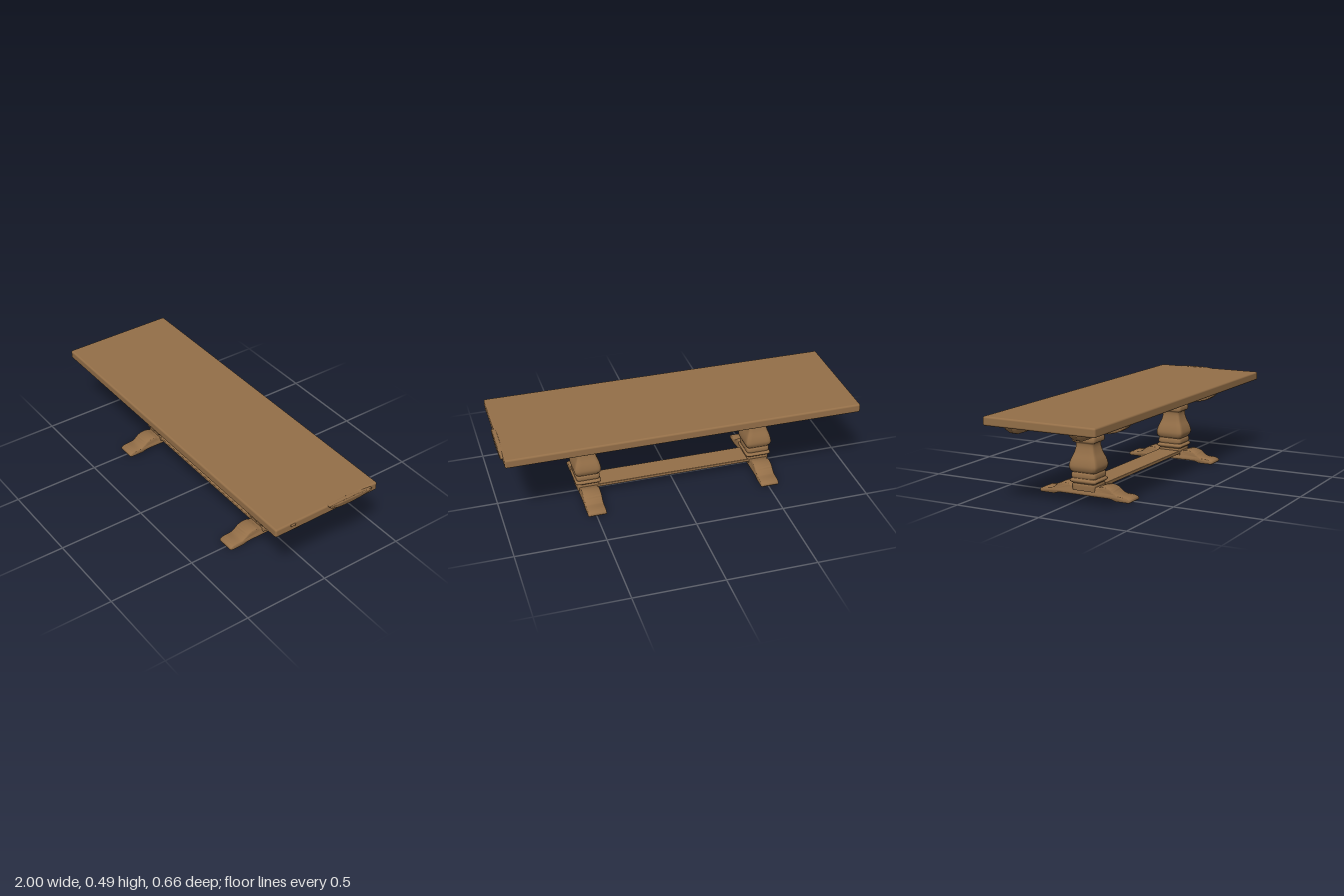
import * as THREE from 'three';
import { toCreasedNormals } from 'three/addons/utils/BufferGeometryUtils.js';
import { RoundedBoxGeometry } from 'three/addons/geometries/RoundedBoxGeometry.js';

const wood = new THREE.MeshStandardMaterial({ color: 0x946f48 });
wood.name = 'warm wood';

function part(name, geometry, x = 0, y = 0, z = 0) {
  const mesh = new THREE.Mesh(geometry, wood);
  mesh.name = name;
  mesh.position.set(x, y, z);
  return mesh;
}

const vectors = (pts) => pts.map(([x, y]) => new THREE.Vector2(x, y));

// Bevelled slab of an outline, centred on its thickness
function slab(shape, depth, bevel) {
  const g = new THREE.ExtrudeGeometry(shape, {
    depth: depth - 2 * bevel, bevelEnabled: true, bevelThickness: bevel,
    bevelSize: bevel, bevelOffset: -bevel, bevelSegments: 3, curveSegments: 32,
  });
  g.translate(0, 0, -depth / 2 + bevel);
  return toCreasedNormals(g, 0.8);
}

// Closed outline: smooth curve through the edge points, mirrored, then the straight inner edge
function mirroredOutline(curvePts, innerPts) {
  const flip = (pts) => pts.map(([x, y]) => [-x, y]).reverse();
  const curve = new THREE.SplineCurve(vectors([...curvePts, ...flip(curvePts)])).getPoints(90);
  return new THREE.Shape([...curve, ...vectors([...flip(innerPts), ...innerPts])]);
}

// Square baluster: lathe profile pushed out to a rounded square
function balusterGeometry() {
  const profile = [
    [0.068, 0.04], [0.07, 0.07], [0.067, 0.079], [0.079, 0.088], [0.08, 0.098],
    [0.071, 0.106], [0.074, 0.115], [0.073, 0.13], [0.069, 0.139], [0.077, 0.148],
    [0.083, 0.165], [0.082, 0.183], [0.075, 0.208], [0.062, 0.24], [0.054, 0.27],
    [0.053, 0.288], [0.056, 0.296], [0.067, 0.303], [0.069, 0.315], [0.067, 0.327],
    [0.064, 0.331], [0.072, 0.338], [0.072, 0.35], [0.068, 0.365], [0.064, 0.38],
  ];
  const g = new THREE.LatheGeometry(new THREE.SplineCurve(vectors(profile)).getPoints(96), 48);
  const p = g.attributes.position;
  for (let i = 0; i < p.count; i++) {
    const x = p.getX(i), z = p.getZ(i), r = Math.hypot(x, z);
    const k = Math.pow(Math.abs(x / r) ** 12 + Math.abs(z / r) ** 12, -1 / 12);
    p.setXYZ(i, x * k * 0.91, p.getY(i), z * k);
  }
  g.computeVertexNormals();
  return g;
}

export function createModel() {
  const table = new THREE.Group();
  table.name = 'trestleTable';

  // Table top
  table.add(part('tableTop', new RoundedBoxGeometry(1.985, 0.049, 0.656, 4, 0.01), -0.0075, 0.4615, 0));

  // Raised worn lip and small nick on the left end
  const lip = new THREE.Shape();
  lip.moveTo(0, 0.486);
  lip.bezierCurveTo(0.01, 0.46, 0.07, 0.452, 0.15, 0.452);
  lip.bezierCurveTo(0.25, 0.455, 0.3, 0.47, 0.28, 0.479);
  lip.quadraticCurveTo(0.15, 0.492, 0, 0.486);
  const lipGeometry = slab(lip, 0.026, 0.005);
  lipGeometry.rotateY(Math.PI / 2);
  table.add(part('wornLip', lipGeometry, 0.987, 0, 0));
  table.add(part('edgeNick', new RoundedBoxGeometry(0.016, 0.01, 0.032, 2, 0.004), 0.984, 0.473, 0.222));

  // Foot and arm outlines run along z
  const foot = mirroredOutline(
    [[0.268, 0.002], [0.277, 0.008], [0.275, 0.02], [0.258, 0.029], [0.235, 0.032], [0.203, 0.034],
      [0.182, 0.045], [0.158, 0.064], [0.125, 0.073], [0.095, 0.071], [0.07, 0.064]],
    [[0.14, 0.012], [0.165, 0.01], [0.19, 0.002]]);
  const footGeometry = slab(foot, 0.105, 0.008);
  footGeometry.rotateY(Math.PI / 2);

  const arm = mirroredOutline(
    [[0.262, 0.44], [0.258, 0.415], [0.243, 0.396], [0.21, 0.376], [0.165, 0.362], [0.125, 0.358],
      [0.098, 0.366], [0.085, 0.371], [0.07, 0.366], [0.03, 0.362]],
    [[0.09, 0.406], [0.104, 0.411], [0.111, 0.422], [0.112, 0.44]]
  );
  const armGeometry = slab(arm, 0.056, 0.007);
  armGeometry.rotateY(Math.PI / 2);

  // Rail outline runs along x, with sloping ends
  const rail = new THREE.Shape(vectors([
    [0.245, 0.441], [0.262, 0.425], [0.285, 0.402], [0.315, 0.393], [0.905, 0.393],
    [0.935, 0.402], [0.972, 0.425], [0.982, 0.441],
  ]));
  const railGeometry = slab(rail, 0.038, 0.005);
  const baluster = balusterGeometry();

  // Two trestles
  for (const side of [-1, 1]) {
    const trestle = new THREE.Group();
    trestle.name = side > 0 ? 'leftTrestle' : 'rightTrestle';
    const x = side > 0 ? 0.495 : -0.508;
    trestle.add(part('foot', footGeometry, x, 0, 0));
    trestle.add(part('baluster', baluster, x, 0, 0));
    trestle.add(part('capital', new RoundedBoxGeometry(0.115, 0.04, 0.13, 3, 0.008), x, 0.378, 0));
    trestle.add(part('arm', armGeometry, side * 0.528, 0, 0));
    for (const z of [-0.188, 0.188]) {
      const r = part('rail', railGeometry, side > 0 ? 0 : -0.005, 0, z);
      if (side < 0) r.rotation.y = Math.PI;
      trestle.add(r);
      // Cleat joining rail and arm
      trestle.add(part('cleat', new RoundedBoxGeometry(0.15, 0.024, 0.06, 2, 0.007),
        side * 0.6, 0.43, Math.sign(z) * 0.155));
    }
    table.add(trestle);
  }

  // Flat stretcher board
  table.add(part('stretcher', new RoundedBoxGeometry(0.96, 0.019, 0.135, 2, 0.004), -0.006, 0.057, 0));

  return table;
}
